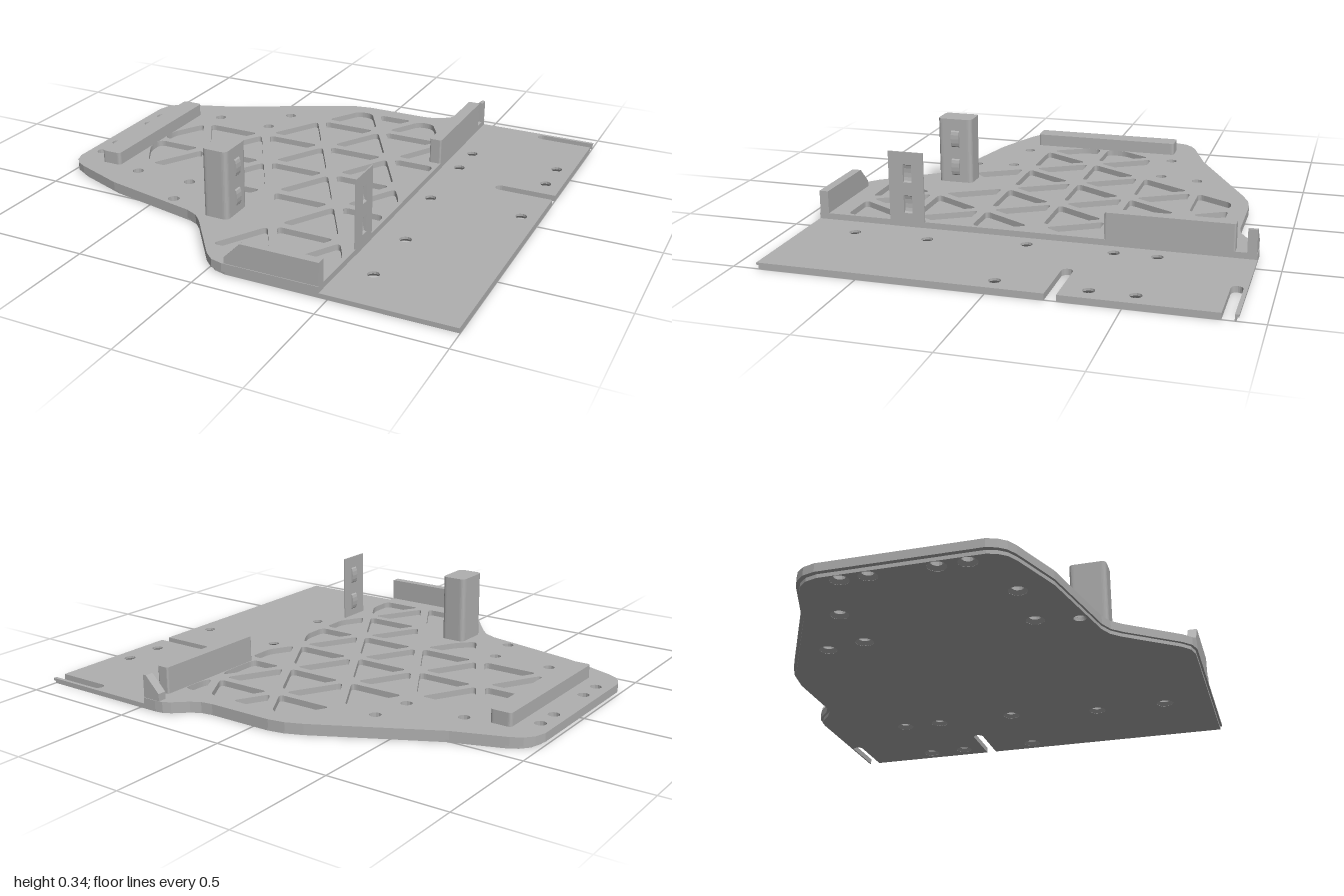
import * as THREE from 'three';

const metal = new THREE.MeshStandardMaterial({ color: 0xb0b0b0 });
metal.name = 'plain grey';
metal.side = THREE.DoubleSide;

// Polygon with softened corners
function rounded(pts, r, Type = THREE.Shape) {
  const path = new Type();
  const n = pts.length;
  pts.forEach((p, i) => {
    const toward = (q) => {
      const d = Math.hypot(q[0] - p[0], q[1] - p[1]);
      const t = Math.min(r / d, 0.45);
      return [p[0] + (q[0] - p[0]) * t, p[1] + (q[1] - p[1]) * t];
    };
    const a = toward(pts[(i + n - 1) % n]);
    const b = toward(pts[(i + 1) % n]);
    if (i === 0) path.moveTo(...a); else path.lineTo(...a);
    path.quadraticCurveTo(...p, ...b);
  });
  path.closePath();
  return path;
}

const polygon = (pts) => new THREE.Shape(pts.map((p) => new THREE.Vector2(...p)));

// Keeps the part of a polygon where a*x + b*z <= c
function clip(pts, a, b, c) {
  const out = [];
  pts.forEach((p, i) => {
    const q = pts[(i + 1) % pts.length];
    const dp = a * p[0] + b * p[1] - c, dq = a * q[0] + b * q[1] - c;
    if (dp <= 0) out.push(p);
    if (dp * dq < 0) {
      const t = dp / (dp - dq);
      out.push([p[0] + (q[0] - p[0]) * t, p[1] + (q[1] - p[1]) * t]);
    }
  });
  return out;
}

// Plan shape (x, z) raised from y0 to y1
function slab(shape, y0, y1) {
  const g = new THREE.ExtrudeGeometry(shape, { depth: y1 - y0, bevelEnabled: false, curveSegments: 6 });
  return g.rotateX(Math.PI / 2).translate(0, y1, 0);
}

const rect = (x0, x1, z0, z1) => [[x0, z0], [x1, z0], [x1, z1], [x0, z1]];

export function createModel() {
  const model = new THREE.Group();
  const add = (name, geometry) => {
    const mesh = new THREE.Mesh(geometry, metal);
    mesh.name = name;
    model.add(mesh);
    return mesh;
  };

  // Curved plan edge of the raised deck, back to front
  const rim = [
    [0.47, -0.905], [0.41, -0.905], [0.375, -0.9], [0.345, -0.883], [0.29, -0.835], [0.25, -0.813], [0.2, -0.805],
    [-0.08, -0.805], [-0.15, -0.793], [-0.22, -0.765], [-0.7, -0.515], [-0.91, -0.44],
    [-0.955, -0.415], [-0.985, -0.38], [-1, -0.33], [-1, 0.31], [-0.985, 0.35], [-0.96, 0.38], [-0.92, 0.402],
    [-0.7, 0.485], [-0.28, 0.575], [-0.225, 0.6], [-0.185, 0.64], [-0.02, 0.855], [0.02, 0.89], [0.07, 0.903], [0.47, 0.903],
  ];
  // Straight side with two open slots
  const slot = (z0, z1) => {
    const pts = [[1, z1]], r = (z1 - z0) / 2;
    for (let i = 0; i <= 8; i++) {
      const a = Math.PI * (0.5 + i / 8);
      pts.push([0.77 + r * Math.cos(a), (z0 + z1) / 2 + r * Math.sin(a)]);
    }
    return [...pts, [1, z0]];
  };
  const slots = [...slot(-0.265, -0.22), ...slot(-0.89, -0.845)];
  const outline = [...rim, [1, 0.903], ...slots, [1, -0.905]];
  const inset = ([x, z]) => [1 - (1 - x) * 0.99, z * 0.99];
  const lowerOutline = [...rim.map(inset), inset([1, 0.903]), ...slots, inset([1, -0.905])];

  // Screw holes
  const deckHoles = [
    [-0.94, -0.255], [-0.94, -0.145], [-0.94, 0.115], [-0.94, 0.23], [-0.675, -0.365], [-0.415, -0.365],
    [-0.385, -0.535], [-0.675, 0.34], [-0.415, 0.34], [-0.385, 0.51],
  ];
  const sheetHoles = [
    [0.54, -0.535], [0.93, -0.535], [0.54, -0.365], [0.93, -0.365],
    [0.54, -0.015], [0.93, -0.015], [0.59, 0.38], [0.59, 0.69],
  ];
  const allHoles = [...deckHoles, ...sheetHoles];
  const wide = ([, z]) => (z === 0.51 ? 0.026 : 0.038);
  const drill = (shape, holes, radius) => {
    for (const h of holes) {
      const p = new THREE.Path();
      p.absarc(h[0], h[1], radius(h), 0, Math.PI * 2, true);
      shape.holes.push(p);
    }
    return shape;
  };

  // Thin base sheet, with countersinks underneath
  add('baseUnderside', slab(drill(polygon(lowerOutline), allHoles, wide), 0, 0.015));
  add('baseSheet', slab(drill(polygon(outline), allHoles, () => 0.024), 0.015, 0.025));
  for (const h of allHoles) {
    add('countersink', new THREE.CylinderGeometry(0.024, wide(h), 0.015, 24, 1, true).translate(h[0], 0.0075, h[1]));
  }

  // Raised deck with a lattice of triangular pockets
  const deck = drill(polygon(rim), deckHoles, () => 0.024);
  const rows = [[-1, 2], [-2, 2], [-5, 2], [-5, 2], [-2, 2], [0, 2]];
  const pitch = 0.271, rib = 0.0175, half = 0.1255;
  rows.forEach(([first, last], r) => {
    for (let i = first; i <= last; i++) {
      if (r === 4 && i === -1) continue;
      const cx = 0.083 + 0.1567 * i;
      const z0 = -0.0125 + pitch * (r - 3), z1 = z0 + pitch;
      const up = Math.abs(i + r) % 2 === 1;
      const base = up ? z1 - rib : z0 + rib;
      const apex = up ? z0 + 2 * rib : z1 - 2 * rib;
      let tri = [[cx - half, base], [cx + half, base], [cx, apex]];
      tri = clip(tri, 1, 0, r < 2 ? 0.415 : 0.455);
      tri = clip(tri, -1, 0, 0.78);
      tri = clip(tri, 0, -1, 0.73);
      if (r === 4 && i === -2) tri = clip(tri, 1, 1, 0.225);
      deck.holes.push(rounded(tri, 0.03, THREE.Path));
    }
  });
  add('pocketedDeck', slab(deck, 0.025, 0.05));

  // Low rails
  add('sideRail', slab(rounded(rect(-0.87, -0.78, -0.355, 0.325), 0.015), 0.05, 0.105));
  add('backRail', slab(rounded(rect(0.418, 0.47, -0.82, -0.31), 0.008), 0.05, 0.16));

  // Upright end walls with a sloped corner
  const wall = (name, x0, y0, z0, z1) => {
    const slope = 0.145 - y0;
    const s = polygon([[x0, 0.05], [0.47, 0.05], [0.47, 0.145], [x0 + slope, 0.145], [x0, y0]]);
    add(name, new THREE.ExtrudeGeometry(s, { depth: z1 - z0, bevelEnabled: false }).translate(0, 0, z0));
  };
  wall('frontWall', 0.08, 0.075, 0.862, 0.9);
  wall('backWall', 0.39, 0.08, -0.902, -0.865);

  // Post and the thin tab facing it
  add('post', slab(rounded(rect(-0.195, -0.085, 0.432, 0.587), 0.022), 0.05, 0.34));
  const tab = polygon([[-0.587, 0.02], [-0.437, 0.02], [-0.437, 0.34], [-0.587, 0.34]]);
  const catchHeights = [0.12, 0.25];
  for (const y of catchHeights) {
    tab.holes.push(new THREE.Path(
      [[-0.525, y - 0.0375], [-0.525, y + 0.0375], [-0.488, y + 0.0375], [-0.488, y - 0.0375]]
        .map((p) => new THREE.Vector2(...p))));
  }
  add('tab', new THREE.ExtrudeGeometry(tab, { depth: 0.006, bevelEnabled: false })
    .rotateY(Math.PI / 2).translate(0.465, 0, 0));

  // Small bulging catches on the post and the tab
  for (const y of catchHeights) {
    for (const [x, dir] of [[-0.085, 1], [0.466, -1]]) {
      const g = new THREE.CylinderGeometry(0.0375, 0.0375, 0.037, 6, 1, false, 0, Math.PI)
        .rotateX(Math.PI / 2).toNonIndexed();
      g.scale(0.27, 1, 1);
      if (dir < 0) g.rotateY(Math.PI);
      g.computeVertexNormals();
      add('catch', g.translate(x, y, 0.5065));
    }
  }
  return model;
}
